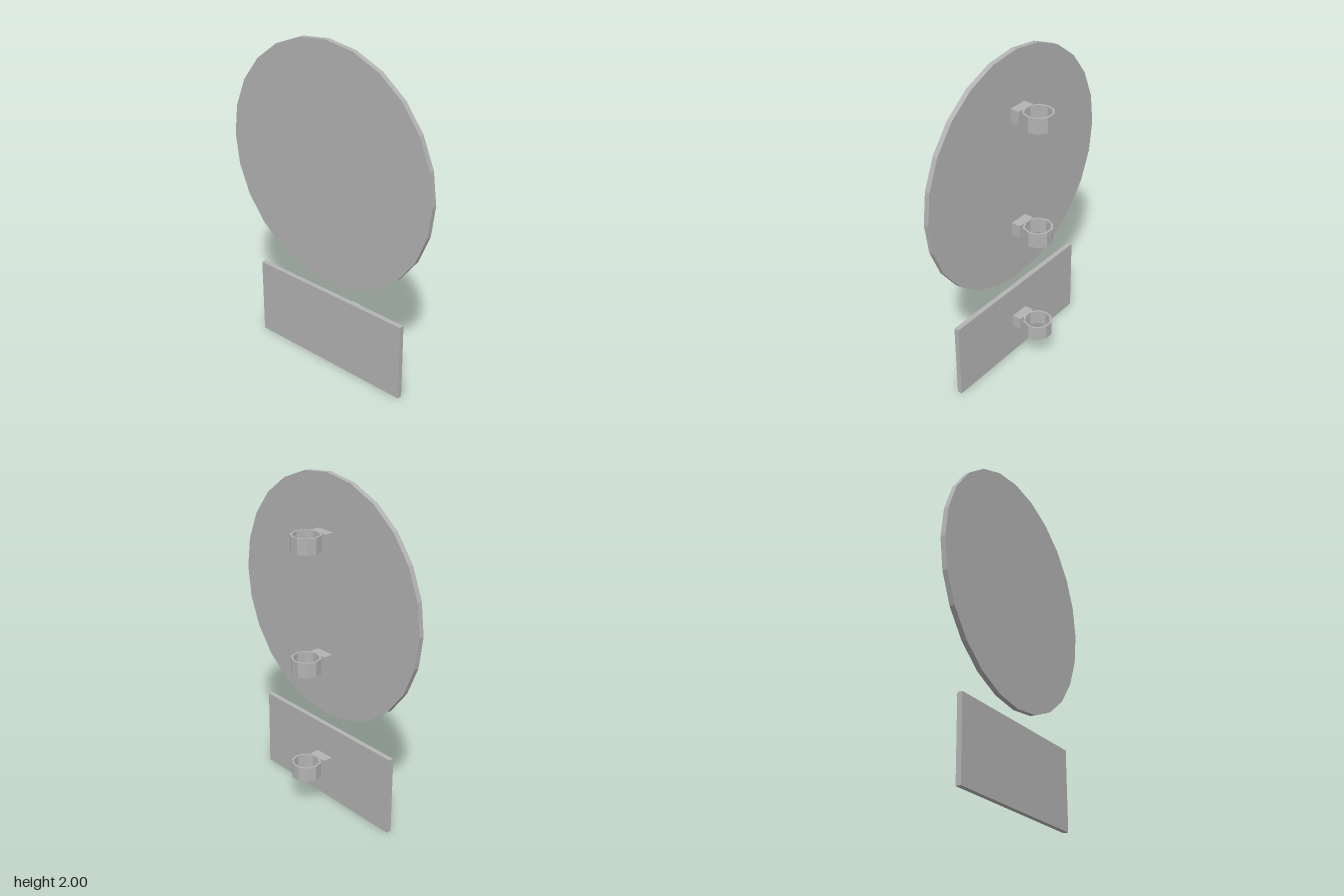
import * as THREE from 'three';

const grey = new THREE.MeshStandardMaterial({ color: 0xb3b3b3, flatShading: true });
grey.name = 'plain grey';

function addPart(parent, name, geometry, x, y, z) {
  const mesh = new THREE.Mesh(geometry, grey);
  mesh.name = name;
  mesh.position.set(x, y, z);
  parent.add(mesh);
  return mesh;
}

// Ten-sided pole ring as a closed lathe profile, with a corner on the x axis
function ringGeometry(outer, inner, height) {
  const h = height / 2;
  const profile = [[outer, -h], [outer, h], [inner, h], [inner, -h], [outer, -h]]
    .map(([r, y]) => new THREE.Vector2(r, y));
  return new THREE.LatheGeometry(profile, 10, Math.PI / 2);
}

export function createModel() {
  const model = new THREE.Group();
  model.name = 'roadSign';

  // Sign faces
  const disc = new THREE.CylinderGeometry(0.72, 0.72, 0.03, 24).rotateX(Math.PI / 2);
  addPart(model, 'roundSignPlate', disc, 0, 1.28, 0.115);
  addPart(model, 'rectangularSignPlate', new THREE.BoxGeometry(1.08, 0.48, 0.03), 0, 0.24, 0.115);

  // Pole clamps behind the plates
  const ring = ringGeometry(0.088, 0.076, 0.092);
  const block = new THREE.BoxGeometry(0.12, 0.08, 0.058);
  for (const y of [0.244, 0.92, 1.643]) {
    const clamp = new THREE.Group();
    clamp.name = 'poleClamp';
    clamp.position.y = y;
    addPart(clamp, 'clampRing', ring, 0, 0, -0.047);
    addPart(clamp, 'clampBlock', block, 0, 0, 0.066);
    model.add(clamp);
  }
  return model;
}
